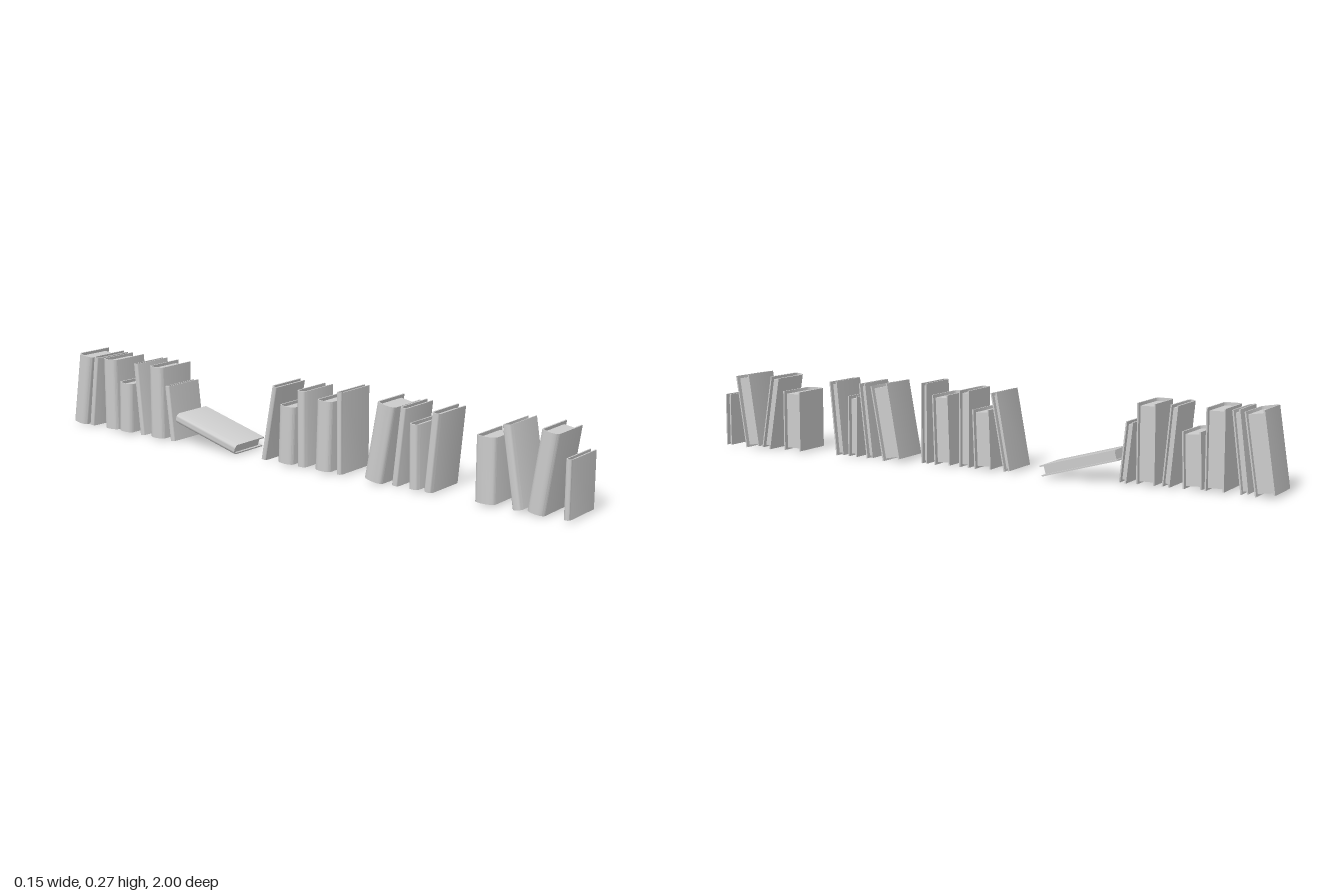
import * as THREE from 'three';
import { toCreasedNormals } from 'three/addons/utils/BufferGeometryUtils.js';

const FRONT = 0.075;   // fore edge of the boards
const BACK = -0.075;   // outermost point of the spine
const ROUND = 0.014;   // depth of the rounded spine
const BOARD = 0.0045;  // thickness of the cover
const material = new THREE.MeshStandardMaterial({ color: 0xcccccc });

// Points around a rounded spine, from the +half side to the -half side
function spine(half, depth, startX) {
  const points = [];
  for (let i = 0; i <= 10; i++) {
    const a = Math.PI / 2 + (Math.PI * i) / 10;
    points.push(new THREE.Vector2(startX + depth * Math.cos(a), half * Math.sin(a)));
  }
  return points;
}

// Extrude a plan outline (x, -z) upward from y0 to y1
function upright(points, y0, y1, name) {
  let geometry = new THREE.ExtrudeGeometry(new THREE.Shape(points), {
    depth: y1 - y0, bevelEnabled: false,
  });
  geometry.rotateX(-Math.PI / 2);
  geometry.translate(0, y0, 0);
  geometry = toCreasedNormals(geometry, 0.75);
  const mesh = new THREE.Mesh(geometry, material);
  mesh.name = name;
  return mesh;
}

// One book, standing on its tail with the spine toward -x
function makeBook(thickness, height) {
  const book = new THREE.Group();
  const half = thickness / 2;
  const inner = half - BOARD;
  const startX = BACK + ROUND;
  const insideSpine = spine(inner, ROUND - BOARD, startX);

  // U-shaped case: two boards joined by the rounded spine
  const cover = [
    new THREE.Vector2(FRONT, half),
    ...spine(half, ROUND, startX),
    new THREE.Vector2(FRONT, -half),
    new THREE.Vector2(FRONT, -inner),
    ...insideSpine.slice().reverse(),
    new THREE.Vector2(FRONT, inner),
  ];
  book.add(upright(cover, 0, height, 'cover'));

  // Page block, set back from the edges of the boards
  const pages = [
    new THREE.Vector2(0.06, inner),
    ...insideSpine,
    new THREE.Vector2(0.06, -inner),
  ];
  book.add(upright(pages, 0.007, height - 0.01, 'pages'));
  return book;
}

// Standing books: z at the tail, z at the head, thickness, height of the head
const STANDING = [
  [0.989, 0.989, 0.022, 0.185],
  [0.887, 0.925, 0.056, 0.255],
  [0.828, 0.786, 0.034, 0.255],
  [0.717, 0.717, 0.068, 0.21],
  [0.52, 0.544, 0.03, 0.255],
  [0.468, 0.466, 0.036, 0.21],
  [0.4, 0.428, 0.025, 0.255],
  [0.316, 0.362, 0.066, 0.255],
  [0.188, 0.188, 0.022, 0.27],
  [0.12, 0.128, 0.058, 0.235],
  [0.038, 0.038, 0.036, 0.255],
  [-0.03, -0.022, 0.06, 0.197],
  [-0.117, -0.07, 0.022, 0.255],
  [-0.517, -0.538, 0.024, 0.195],
  [-0.592, -0.592, 0.06, 0.255],
  [-0.658, -0.682, 0.025, 0.255],
  [-0.743, -0.737, 0.06, 0.18],
  [-0.812, -0.812, 0.06, 0.255],
  [-0.905, -0.874, 0.025, 0.255],
  [-0.968, -0.93, 0.062, 0.255],
];

export function createModel() {
  const model = new THREE.Group();
  model.name = 'rowOfBooks';

  for (const [tailZ, headZ, thickness, headY] of STANDING) {
    const rise = headY - 0.007;
    const book = makeBook(thickness, Math.hypot(rise, headZ - tailZ));
    book.name = 'standingBook';
    book.rotation.x = Math.atan2(headZ - tailZ, rise);
    book.position.set(0, 0.007, tailZ);
    model.add(book);
  }

  // Fallen book, resting its head on its neighbour
  const fallen = makeBook(0.035, 0.268);
  fallen.name = 'fallenBook';
  fallen.rotation.x = Math.atan2(-0.265, 0.073);
  fallen.position.set(0, 0.0185, -0.238);
  model.add(fallen);

  return model;
}
